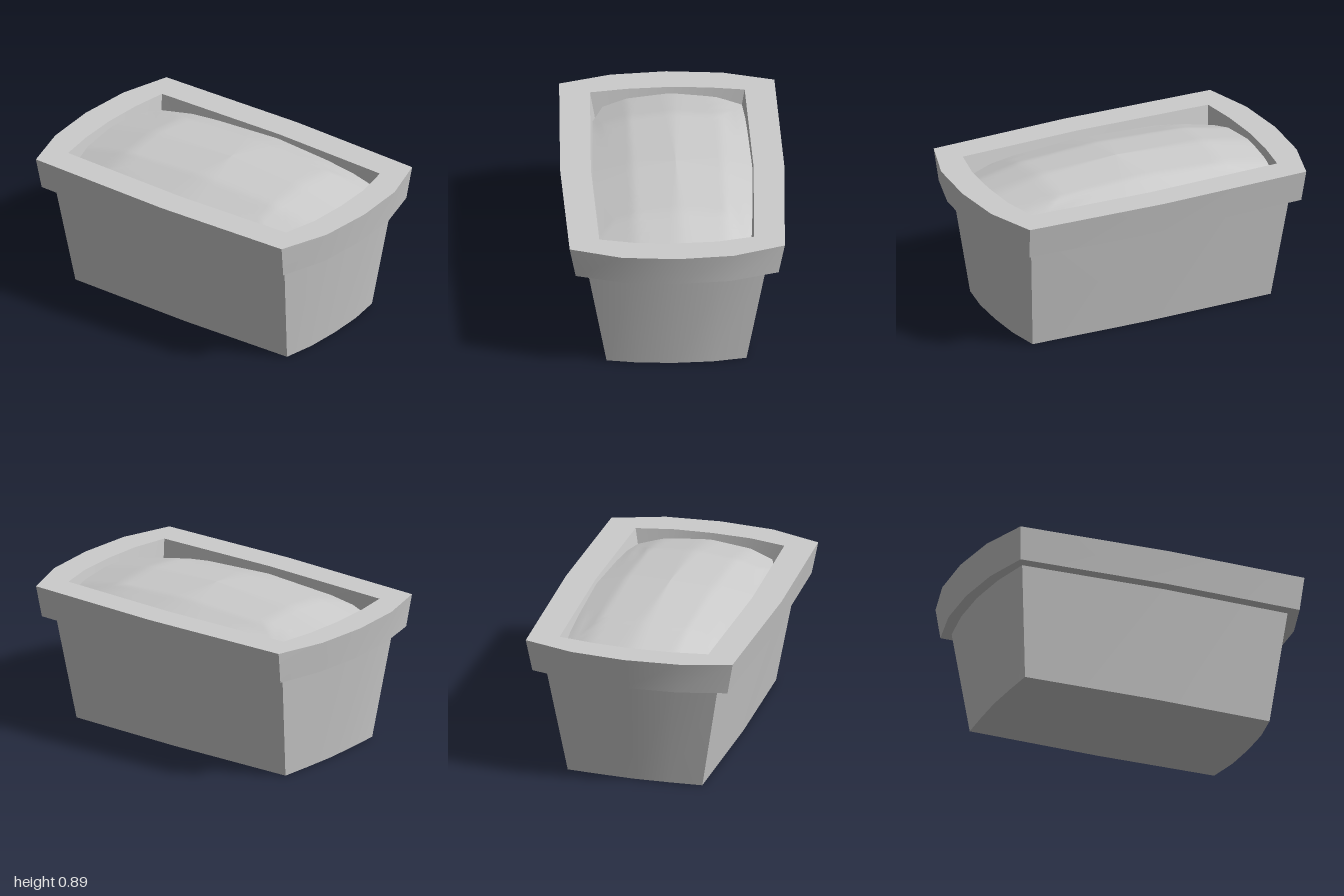
import * as THREE from 'three';
import { toCreasedNormals } from 'three/addons/utils/BufferGeometryUtils.js';

// Skin a stack of closed rings, each ordered front -> left -> back -> right.
function loft(rings, crease) {
  const n = rings[0].length, index = [];
  for (let r = 0; r < rings.length - 1; r++) {
    for (let i = 0; i < n; i++) {
      const j = (i + 1) % n;
      const a = r * n + i, b = r * n + j, c = a + n, d = b + n;
      index.push(a, b, d, a, d, c);
    }
  }
  const g = new THREE.BufferGeometry();
  g.setAttribute('position', new THREE.Float32BufferAttribute(rings.flat(2), 3));
  g.setIndex(index);
  g.computeVertexNormals();
  return crease ? toCreasedNormals(g, crease) : g;
}

// Rectangle with gently bowed sides: corner x right/left, corner z, mid z, end x
function bowedRing(y, xr, xl, zc, zm, xe) {
  const zs = zc * 0.52, xs = xe - 0.25 * (xe - xr) * 0.8;
  return [
    [0.03, y, zm], [xr, y, zc], [xs, y, zs], [xe, y, 0], [xs, y, -zs], [xr, y, -zc],
    [0.03, y, -zm], [xl, y, -zc], [-xs, y, -zs], [-xe, y, 0], [-xs, y, zs], [xl, y, zc],
  ];
}
const point = (y) => Array.from({ length: 12 }, () => [0, y, 0]);

// Piecewise linear lookup
function lerpTable(table, v) {
  let k = 1;
  while (k < table.length - 1 && v > table[k][0]) k++;
  const [a, b] = [table[k - 1], table[k]];
  return a[1] + (b[1] - a[1]) * (v - a[0]) / (b[0] - a[0]);
}

// Domed soil: drop from the peak is the sum of a drop along x and one along z
const dropX = [[-0.83, 0.09], [-0.52, 0.025], [0.03, 0], [0.52, 0.025], [0.83, 0.09]];
const dropZ = [[-0.46, 0.078], [-0.29, 0.025], [-0.02, 0], [0.23, 0.025], [0.46, 0.095]];
const soilY = (x, z) => 0.886 - lerpTable(dropX, x) - lerpTable(dropZ, z);

function soilGeometry() {
  // Outline with clipped front corners
  const half = [[0.6, 0.435], [0.78, 0.37], [0.815, 0.23], [0.826, 0], [0.815, -0.23], [0.775, -0.44]];
  const outline = [[0.03, 0.457], ...half, [0.03, -0.464],
    ...half.map(([x, z]) => [-x - (x > 0.77 && x < 0.79 ? 0.01 : 0), z]).reverse()];
  const fine = [];
  outline.forEach(([x, z], i) => {
    const [x2, z2] = outline[(i + 1) % outline.length];
    for (let k = 0; k < 4; k++) fine.push([x + (x2 - x) * k / 4, z + (z2 - z) * k / 4]);
  });
  const rings = [], steps = 20;
  for (let s = 0; s <= steps; s++) {
    const t = 1 - s / steps;
    rings.push(fine.map(([px, pz]) => {
      const x = 0.03 + (px - 0.03) * t, z = -0.02 + (pz + 0.02) * t;
      return [x, soilY(x, z), z];
    }));
  }
  return loft(rings);
}

export function createModel() {
  const group = new THREE.Group();
  const material = new THREE.MeshStandardMaterial({ color: 0xcccccc });
  const add = (name, geometry) => {
    const mesh = new THREE.Mesh(geometry, material);
    mesh.name = name;
    group.add(mesh);
  };

  // Tapered pot with overhanging rim and hollow inside
  add('planterPot', loft([
    point(0),
    bowedRing(0, 0.75, -0.77, 0.4, 0.415, 0.79),
    bowedRing(0.645, 0.815, -0.835, 0.51, 0.532, 0.897),
    bowedRing(0.645, 0.86, -0.875, 0.58, 0.605, 0.965),
    bowedRing(0.835, 0.875, -0.89, 0.615, 0.641, 1),
    bowedRing(0.835, 0.775, -0.79, 0.442, 0.465, 0.832),
    bowedRing(0.5, 0.745, -0.76, 0.385, 0.405, 0.79),
    point(0.5),
  ], 0.6));

  add('soil', soilGeometry());
  return group;
}
